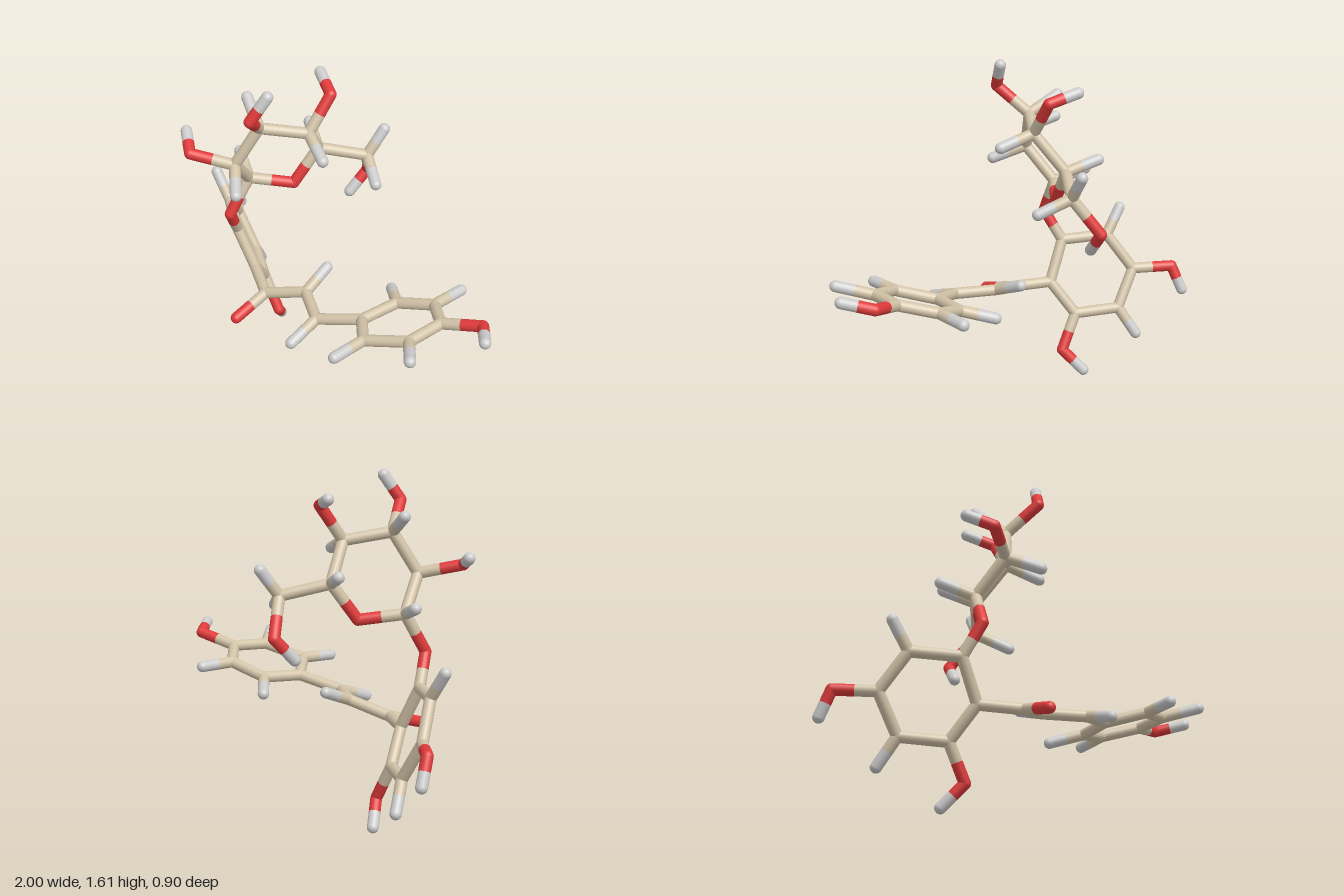
import * as THREE from 'three';
import { mergeGeometries } from 'three/addons/utils/BufferGeometryUtils.js';

const R = 0.027;
const COLORS = { C: 0xd2c3a8, O: 0xe03a3a, H: 0xcccccc };
const NAMES = { C: 'carbon', O: 'oxygen', H: 'hydrogen' };

// Atom centres, sorted by part of the molecule and by element
const PARTS = {
  leftRing: {
    C: [[-0.41, 0.46, 0.12], [-0.51, 0.655, 0.14], [-0.71, 0.665, 0.02],
      [-0.785, 0.495, -0.095], [-0.67, 0.315, -0.105], [-0.475, 0.305, 0.005]],
    O: [[-0.945, 0.5, -0.215], [-0.38, 0.135, 0]],
    H: [[-0.8, 0.79, 0.02], [-0.97, 0.38, -0.268], [-0.72, 0.185, -0.185], [-0.45, 0.03, -0.08]],
  },
  linkChain: {
    C: [[-0.225, 0.455, 0.215], [-0.04, 0.515, 0.12], [0.14, 0.515, 0.22]],
    O: [[-0.23, 0.4, 0.4]],
    H: [[-0.055, 0.575, -0.035], [0.14, 0.462, 0.38]],
  },
  rightRing: {
    C: [[0.335, 0.57, 0.115], [0.37, 0.58, -0.08], [0.545, 0.635, -0.145],
      [0.69, 0.68, -0.03], [0.67, 0.67, 0.155], [0.48, 0.615, 0.25]],
    O: [[0.87, 0.73, -0.105]],
    H: [[0.24, 0.535, -0.18], [0.555, 0.633, -0.315], [0.972, 0.76, 0],
      [0.795, 0.71, 0.28], [0.47, 0.61, 0.42]],
  },
  sugarRing: {
    C: [[-0.43, 0.985, 0.12], [-0.365, 1.15, 0.255], [-0.295, 1.34, 0.16],
      [-0.155, 1.3, -0.015], [-0.235, 1.125, -0.15], [-0.09, 1.07, -0.33]],
    O: [[-0.46, 0.805, 0.22], [-0.285, 0.955, -0.035], [-0.525, 1.195, 0.385],
      [-0.203, 1.47, 0.29], [-0.135, 1.465, -0.135], [-0.183, 0.9, -0.43]],
    H: [[-0.575, 1.035, 0.05], [-0.24, 1.09, 0.358], [-0.63, 1.24, 0.318],
      [-0.433, 1.422, 0.108], [-0.162, 1.585, 0.22], [0, 1.247, 0.043],
      [-0.265, 1.505, -0.192], [-0.375, 1.175, -0.222], [-0.065, 1.19, -0.417],
      [0.047, 1.005, -0.253], [-0.213, 0.797, -0.338]],
  },
};

// Two atoms are joined when they are close enough
function bonded(a, b) {
  if (a === b || (a.el === 'H' && b.el === 'H')) return false;
  const reach = a.el === 'H' || b.el === 'H' ? 0.22 : 0.28;
  return a.pos.distanceTo(b.pos) < reach;
}

// Half of a stick, from an atom to the middle of the bond
function halfStick(a, b) {
  const half = b.clone().sub(a).multiplyScalar(0.5);
  const length = half.length();
  const g = new THREE.CylinderGeometry(R, R, length, 20, 1, true);
  g.translate(0, length / 2, 0);
  g.applyQuaternion(new THREE.Quaternion().setFromUnitVectors(
    new THREE.Vector3(0, 1, 0), half.normalize()));
  return g.translate(a.x, a.y, a.z);
}

export function createModel() {
  const model = new THREE.Group();
  model.name = 'stickMolecule';

  const materials = {};
  for (const el in COLORS) materials[el] = new THREE.MeshStandardMaterial({ color: COLORS[el] });

  const atoms = [];
  for (const part in PARTS)
    for (const el in PARTS[part])
      for (const p of PARTS[part][el]) atoms.push({ part, el, pos: new THREE.Vector3(...p) });

  // One mesh per element in each part: round joints plus half sticks
  for (const part in PARTS) {
    const group = new THREE.Group();
    group.name = part;
    for (const el in PARTS[part]) {
      const pieces = [];
      for (const a of atoms.filter((t) => t.part === part && t.el === el)) {
        pieces.push(new THREE.SphereGeometry(R, 20, 14).translate(a.pos.x, a.pos.y, a.pos.z));
        for (const b of atoms) if (bonded(a, b)) pieces.push(halfStick(a.pos, b.pos));
      }
      const mesh = new THREE.Mesh(mergeGeometries(pieces), materials[el]);
      mesh.name = NAMES[el] + 'Sticks';
      group.add(mesh);
    }
    model.add(group);
  }
  return model;
}
